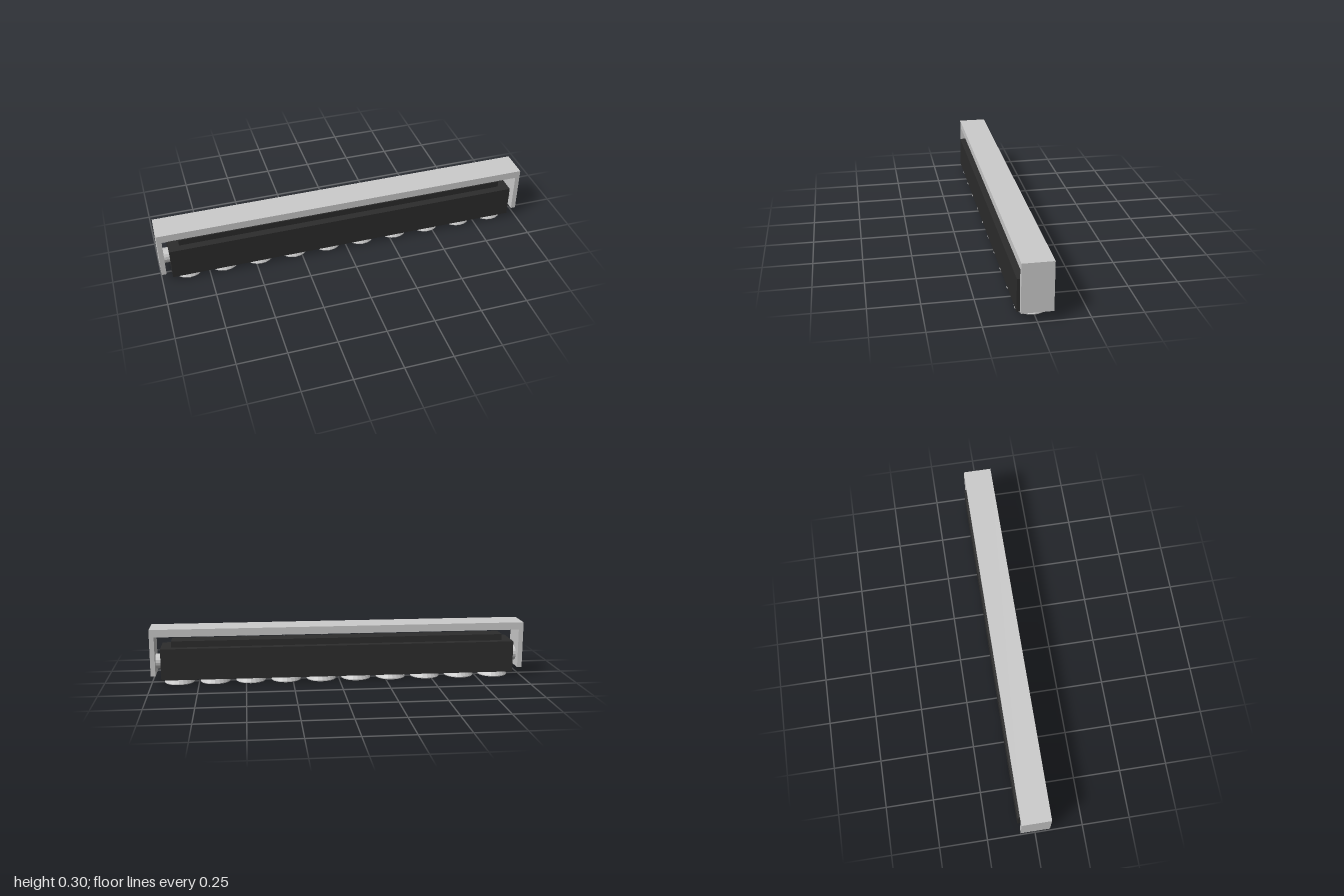
import * as THREE from 'three';

export function createModel() {
  const model = new THREE.Group();
  const grey = new THREE.MeshStandardMaterial({ color: 0xcccccc, flatShading: true });
  const black = new THREE.MeshStandardMaterial({ color: 0x2c2c2c });
  const cupGrey = new THREE.MeshStandardMaterial({ color: 0xcccccc, flatShading: true, side: THREE.DoubleSide });

  const add = (name, geometry, material, x = 0, y = 0, z = 0) => {
    const mesh = new THREE.Mesh(geometry, material);
    mesh.name = name;
    mesh.position.set(x, y, z);
    model.add(mesh);
    return mesh;
  };

  // U-shaped mounting bracket, open downwards
  const u = [[-1, 0.05], [-0.975, 0.05], [-0.975, 0.26], [0.975, 0.26],
    [0.975, 0.05], [1, 0.05], [1, 0.3], [-1, 0.3]];
  const bracketShape = new THREE.Shape(u.map(([x, y]) => new THREE.Vector2(x, y)));
  add('bracket', new THREE.ExtrudeGeometry(bracketShape, { depth: 0.152, bevelEnabled: false }), grey, 0, 0, -0.076);

  // Lamp housing with a raised driver box on top
  add('housing', new THREE.BoxGeometry(1.89, 0.168, 0.17), black, 0, 0.113, 0);
  add('driverBox', new THREE.BoxGeometry(1.78, 0.05, 0.09), black, 0, 0.205, 0);

  // Pivots joining housing and bracket
  for (const side of [-1, 1]) {
    const pivot = add('pivot', new THREE.CylinderGeometry(0.04, 0.04, 0.05, 16), grey, side * 0.96, 0.115, 0);
    pivot.rotation.z = Math.PI / 2;
  }

  // Row of open conical reflector cups under the housing
  const profile = [[0.06, 0.031], [0.075, 0], [0.079, 0], [0.08, 0.004], [0.065, 0.031]]
    .map(([r, y]) => new THREE.Vector2(r, y));
  const cup = new THREE.LatheGeometry(profile, 20);
  for (let i = 0; i < 10; i++) add('reflectorCup', cup, cupGrey, -0.855 + i * 0.19, 0, 0);

  return model;
}
